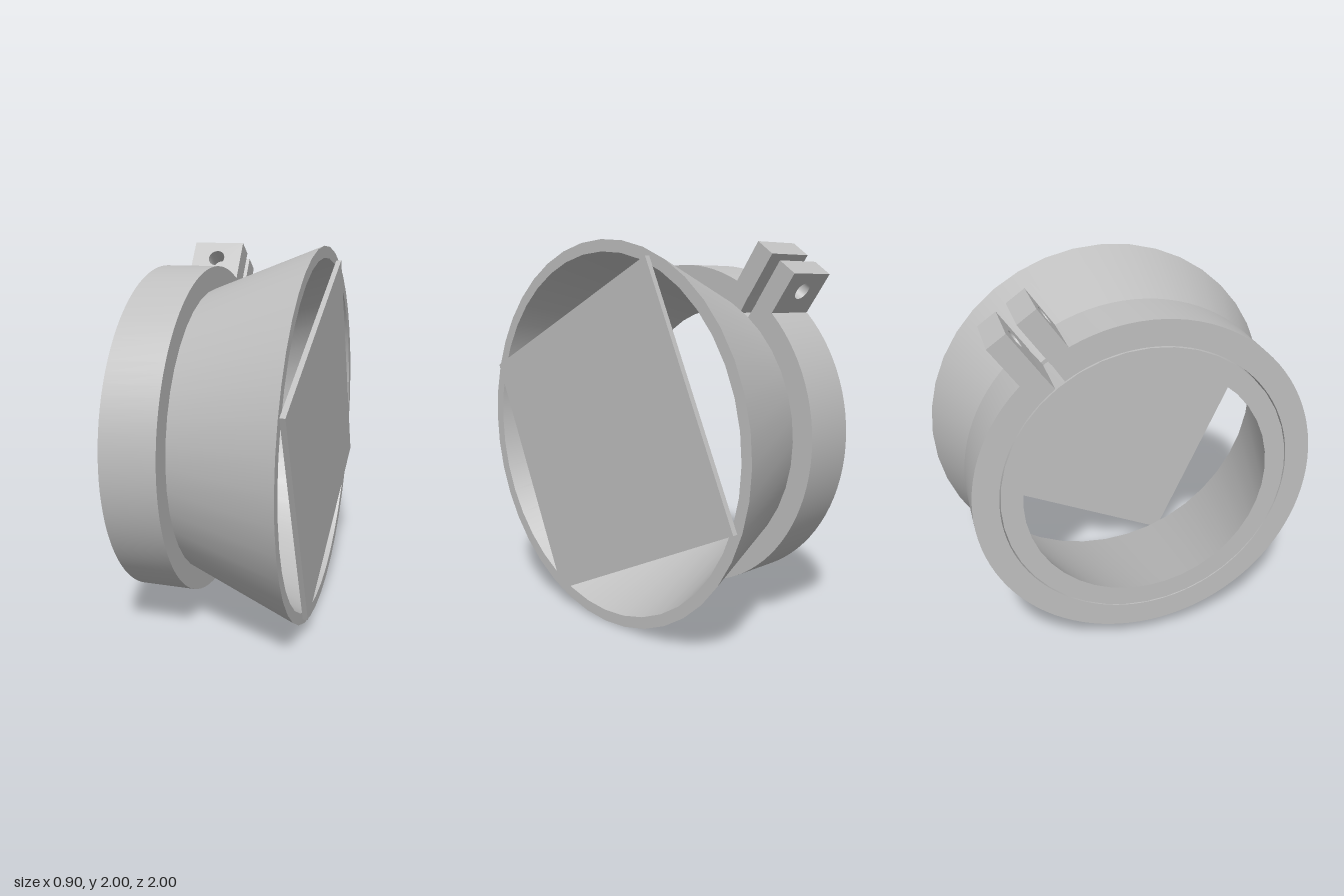
import * as THREE from 'three';
import { toCreasedNormals } from 'three/addons/utils/BufferGeometryUtils.js';

const X_BACK = -0.455, X_STEP = -0.165, X_RIM = 0.42;
const CLAMP_W = X_STEP - X_BACK;
const LUG_ANGLE = THREE.MathUtils.degToRad(55);
const PLATE_ANGLE = THREE.MathUtils.degToRad(24.9);

export function createModel() {
  const model = new THREE.Group();
  const grey = new THREE.MeshStandardMaterial({ color: 0xbfbfbf });
  grey.name = 'grey metal';

  const add = (name, geometry, parent) => {
    const mesh = new THREE.Mesh(toCreasedNormals(geometry, 0.5), grey);
    mesh.name = name;
    parent.add(mesh);
    return mesh;
  };

  // Flared funnel: a hollow neck inside the clamp opening into a cone
  const profile = [
    [0.64, X_BACK], [0.75, X_BACK], [0.75, X_STEP], [0.77, X_STEP],
    [1.0, X_RIM], [0.94, X_RIM], [0.64, X_BACK],
  ].map(([r, h]) => new THREE.Vector2(r, h));
  const funnel = new THREE.LatheGeometry(profile, 40);
  funnel.rotateZ(-Math.PI / 2);
  add('funnel', funnel, model).position.y = 1;

  // Square plate across the wide mouth
  const plate = new THREE.BoxGeometry(1.405, 1.353, 0.027);
  plate.rotateZ(PLATE_ANGLE).rotateY(Math.PI / 2);
  add('mouthPlate', plate, model).position.set(X_RIM + 0.0135, 1, 0);

  // Clamp, built with its slot along +x and its axis along z, then turned
  const clamp = new THREE.Group();
  clamp.name = 'clamp';
  const gap = 0.037;
  const ring = new THREE.Shape();
  ring.absarc(0, 0, 0.887, gap, Math.PI * 2 - gap, false);
  ring.absarc(0, 0, 0.755, Math.PI * 2 - gap, gap, true);
  ring.closePath();
  add('clampRing', new THREE.ExtrudeGeometry(ring, {
    depth: CLAMP_W, bevelEnabled: false, curveSegments: 48,
  }), clamp);

  // Two drilled lugs, one each side of the slot
  const lug = new THREE.Shape([
    [0.86, 0], [1.112, 0], [1.112, CLAMP_W], [0.86, CLAMP_W],
  ].map(([x, y]) => new THREE.Vector2(x, y)));
  const hole = new THREE.Path();
  hole.absarc(1.008, CLAMP_W / 2, 0.047, 0, Math.PI * 2, true);
  lug.holes.push(hole);
  for (const top of [0.141, -0.03]) {
    const g = new THREE.ExtrudeGeometry(lug, { depth: 0.111, bevelEnabled: false, curveSegments: 16 });
    g.rotateX(Math.PI / 2).translate(0, top, 0);
    add(top > 0 ? 'upperLug' : 'lowerLug', g, clamp);
  }
  clamp.rotation.set(0, Math.PI / 2, LUG_ANGLE, 'YXZ');
  clamp.position.set(X_BACK, 1, 0);
  model.add(clamp);

  return model;
}
